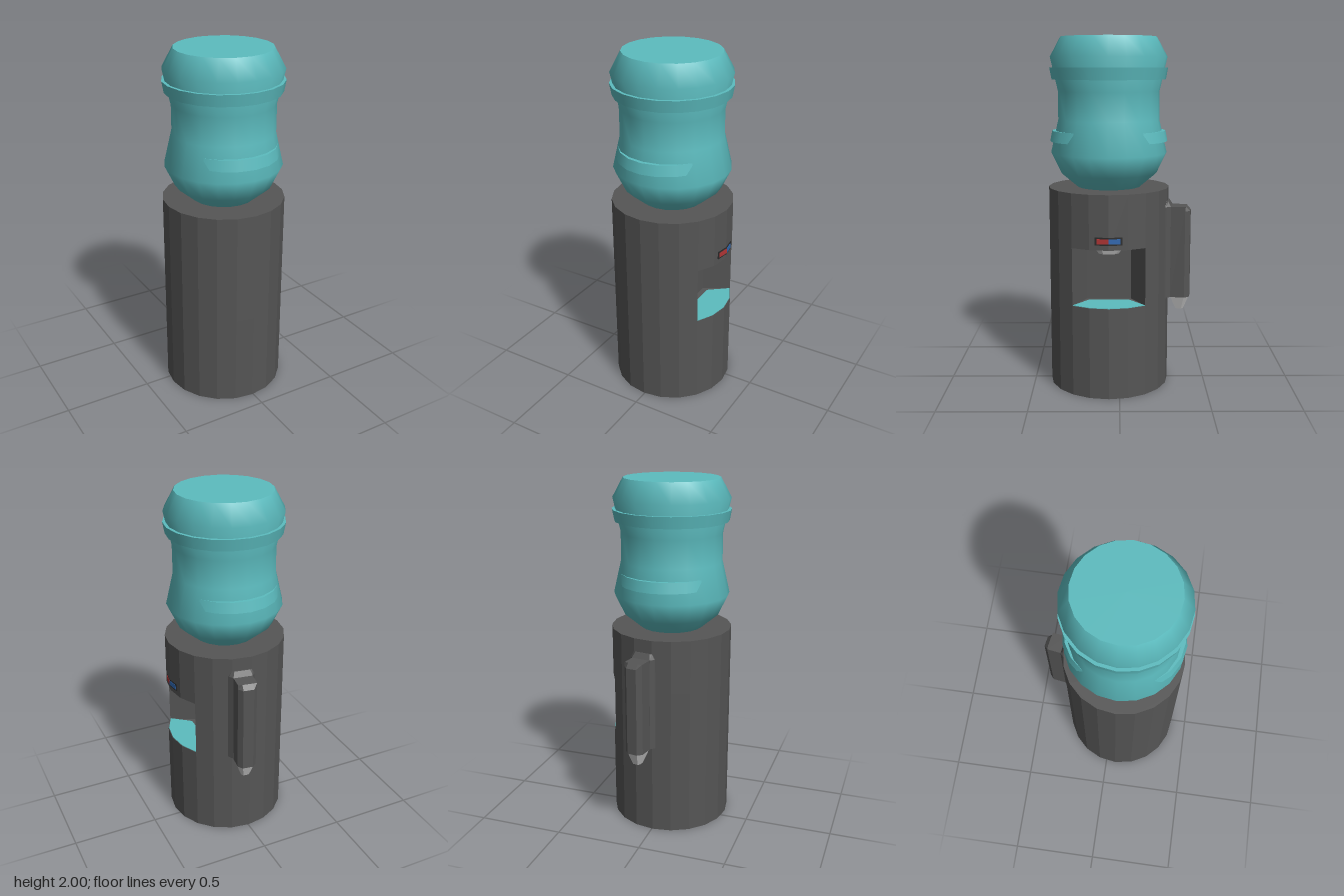
import * as THREE from 'three';

const R = 0.345, SIDES = 20;
const mat = (color, flatShading = true) =>
  new THREE.MeshStandardMaterial({ color, flatShading, side: THREE.DoubleSide });

// Solid through stacked plan outlines: levels = [[y, [[x, z], ...]], ...]
function loft(levels, capped = true) {
  const n = levels[0][1].length, pos = [], idx = [];
  const toPlan = ring => ring.map(([x, z]) => new THREE.Vector2(x, -z));
  const flip = THREE.ShapeUtils.isClockWise(toPlan(levels[0][1]));
  const rings = levels.map(([y, ring]) => [y, flip ? [...ring].reverse() : ring]);
  for (const [y, ring] of rings) for (const [x, z] of ring) pos.push(x, y, z);
  for (let l = 0; l < rings.length - 1; l++) {
    for (let i = 0; i < n; i++) {
      const a = l * n + i, b = l * n + (i + 1) % n;
      idx.push(a, b, b + n, a, b + n, a + n);
    }
  }
  if (capped) {
    const top = (rings.length - 1) * n;
    for (const [a, b, c] of THREE.ShapeUtils.triangulateShape(toPlan(rings[0][1]), [])) idx.push(a, c, b);
    for (const [a, b, c] of THREE.ShapeUtils.triangulateShape(toPlan(rings[rings.length - 1][1]), []))
      idx.push(top + a, top + b, top + c);
  }
  const g = new THREE.BufferGeometry();
  g.setAttribute('position', new THREE.Float32BufferAttribute(pos, 3));
  g.setIndex(idx);
  const flat = g.toNonIndexed();
  flat.computeVertexNormals();
  return flat;
}
const prism = (ring, y0, y1, capped) => loft([[y0, ring], [y1, ring]], capped);

// Points of the 20-sided outline, from corner k0 to corner k1
function arc(k0, k1, r = R) {
  const pts = [];
  for (let k = k0; k <= k1; k++) {
    const a = k * Math.PI * 2 / SIDES;
    pts.push([r * Math.cos(a), r * Math.sin(a)]);
  }
  return pts;
}

export function createModel() {
  const model = new THREE.Group();
  model.position.set(-0.005, 0, 0.06);
  const dark = mat(0x555555), black = mat(0x2b2b2b), light = mat(0xcccccc);
  const water = mat(0x5cbcbf, false), waterFlat = mat(0x5cbcbf);
  const add = (name, geometry, material, parent = model) => {
    const mesh = new THREE.Mesh(geometry, material);
    mesh.name = name;
    parent.add(mesh);
    return mesh;
  };

  // Cabinet, with a niche cut into the +x side
  add('cabinetBase', prism(arc(0, 19), 0, 0.525), dark);
  add('cabinetMiddle', prism([...arc(2, 18), [0.136, -0.125], [0.136, 0.125]], 0.525, 0.855, false), dark);
  add('cabinetTop', prism(arc(0, 19), 0.855, 1.16), dark);
  add('dripTray', prism([[0.17, 0.115], [0.17, -0.115], ...arc(-2, 2, R - 0.003)], 0.525, 0.528), waterFlat);

  // Tap under the niche ceiling
  add('tap', loft([
    [0.82, [[0.225, -0.045], [0.26, -0.055], [0.282, -0.03], [0.282, 0.03], [0.26, 0.055], [0.225, 0.045]]],
    [0.855, [[0.215, -0.06], [0.265, -0.08], [0.295, -0.04], [0.295, 0.04], [0.265, 0.08], [0.215, 0.06]]],
  ]), light);

  // Hot and cold indicator, bent around the cabinet
  const bent = (z0, z1, out) => [
    [0.315, z0], [0.345 + out - 0.16 * Math.abs(z0), z0],
    [0.345 + out - 0.16 * Math.abs(z1), z1], [0.315, z1]];
  for (const [name, s, color] of [['hotLabel', 1, 0xb03535], ['coldLabel', -1, 0x3068b0]]) {
    add('indicatorFrame', prism(bent(0, s * 0.075, 0.004), 0.883, 0.927), black);
    add(name, prism(bent(0, s * 0.066, 0.006), 0.891, 0.919), mat(color));
  }

  // Bottle
  const profile = [[0.175, 1.15], [0.18, 1.16], [0.275, 1.24], [0.33, 1.355], [0.287, 1.54],
    [0.287, 1.7], [0.33, 1.89], [0.27, 2]].map(p => new THREE.Vector2(...p));
  add('bottle', new THREE.LatheGeometry(profile, SIDES), water);
  const cap = add('bottleTop', new THREE.CircleGeometry(0.27, SIDES), water);
  cap.rotation.x = -Math.PI / 2;
  cap.position.y = 2;
  const upper = add('upperBand', new THREE.CylinderGeometry(0.334, 0.322, 0.065, SIDES), water);
  upper.position.y = 1.798;
  const lower = add('lowerBand', new THREE.CylinderGeometry(0.322, 0.334, 0.06, SIDES), water);
  lower.position.y = 1.45;
  lower.scale.x = 0.89; // flattened so it sinks into the bottle at both sides

  // Cup dispenser on the rear facet, built pointing along -z
  const cups = new THREE.Group();
  cups.name = 'cupDispenser';
  cups.rotation.y = -Math.PI / SIDES;
  model.add(cups);
  const F = -R * Math.cos(Math.PI / SIDES);
  const plan = (w0, s0, w1, s1, w2, s2) => [
    [-w0, F - s0], [-w1, F - s1], [-w2, F - s2], [w2, F - s2], [w1, F - s1], [w0, F - s0]];
  add('bracket', loft([
    [0.525, plan(0.075, -0.012, 0.073, 0, 0.055, 0.024)],
    [1.055, plan(0.075, -0.012, 0.073, 0, 0.055, 0.024)],
    [1.085, plan(0.06, -0.012, 0.058, 0, 0.045, 0.006)],
  ]), dark, cups);
  const tube = plan(0.054, 0.022, 0.054, 0.105, 0.03, 0.131);
  add('cupTube', loft([
    [0.525, tube], [1.03, tube], [1.055, plan(0.054, 0.022, 0.054, 0.105, 0.03, 0.107)],
  ]), dark, cups);
  add('cup', loft([
    [0.45, plan(0.025, 0.055, 0.025, 0.085, 0.015, 0.097)],
    [0.525, plan(0.05, 0.025, 0.05, 0.103, 0.028, 0.127)],
  ]), light, cups);

  return model;
}
